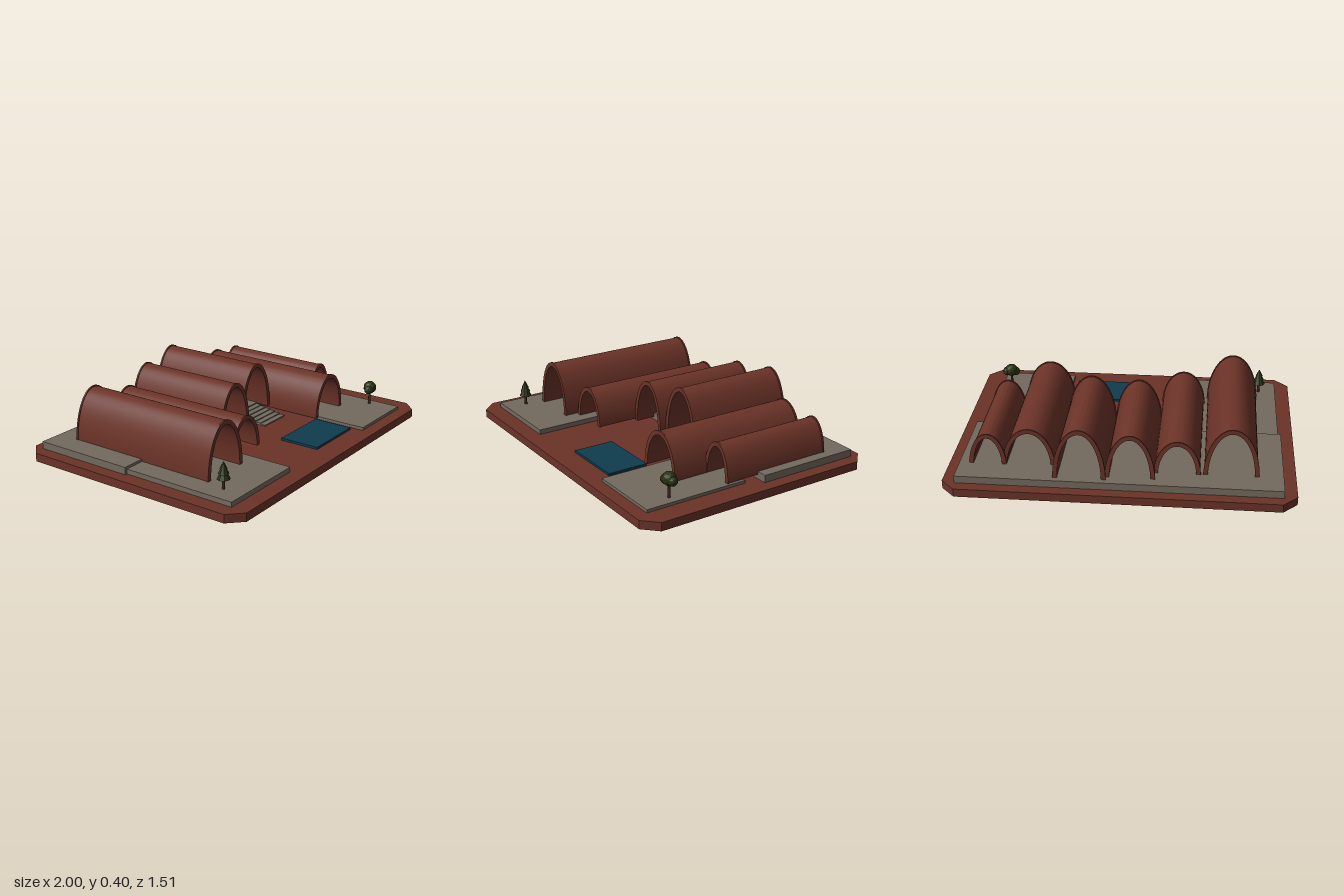
import * as THREE from 'three';
import { toCreasedNormals } from 'three/addons/utils/BufferGeometryUtils.js';

const mat = (name, color, flatShading = false) => {
  const m = new THREE.MeshStandardMaterial({ color, flatShading });
  m.name = name;
  return m;
};

export function createModel() {
  const clay = mat('clay', 0x6b3328);
  const stone = mat('stone', 0x736a5e);
  const water = mat('water', 0x0f3b4d);
  const bark = mat('bark', 0x42241a);
  const leaf = mat('leaf', 0x28330f, true);

  const model = new THREE.Group();
  model.name = 'vaultedBuilding';

  const add = (name, geometry, material, parent = model) => {
    const mesh = new THREE.Mesh(geometry, material);
    mesh.name = name;
    parent.add(mesh);
    return mesh;
  };
  // Box given by its limits on each axis
  const block = (name, material, x0, x1, y0, y1, z0, z1, parent = model) =>
    add(name, new THREE.BoxGeometry(x1 - x0, y1 - y0, z1 - z0), material, parent)
      .position.set((x0 + x1) / 2, (y0 + y1) / 2, (z0 + z1) / 2);

  // Base slab with cut corners
  const X = 1, Z = 0.755, c = 0.083;
  const outline = new THREE.Shape([
    [-X + c, -Z], [X - c, -Z], [X, -Z + c], [X, Z - c],
    [X - c, Z], [-X + c, Z], [-X, Z - c], [-X, -Z + c],
  ].map(([x, y]) => new THREE.Vector2(x, y)));
  const slab = new THREE.ExtrudeGeometry(outline, { depth: 0.05, bevelEnabled: false });
  slab.rotateX(-Math.PI / 2);
  add('baseSlab', slab, clay);

  // Terraces and pool
  block('backTerrace', stone, -0.925, 0.925, 0.045, 0.094, -0.69, -0.055);
  block('rightTerrace', stone, -0.91, -0.36, 0.045, 0.079, -0.055, 0.655);
  block('leftTerrace', stone, 0.415, 0.87, 0.045, 0.068, 0.037, 0.677);
  block('pool', water, -0.005, 0.38, 0.045, 0.064, 0.362, 0.61);

  // Steps down to the court
  const steps = new THREE.Group();
  steps.name = 'steps';
  model.add(steps);
  const count = 6;
  for (let i = 0; i < count; i++) {
    const z = -0.055 + i * 0.0358;
    block('step', stone, 0.122, 0.337, 0.045, 0.088 - i * 0.006, z, z + 0.0358, steps);
  }

  // Arched shell: half ellipse band pulled along z
  const arch = (rx, ry, t, depth) => {
    const shape = new THREE.Shape();
    shape.moveTo(rx, 0);
    shape.absellipse(0, 0, rx, ry, 0, Math.PI, false, 0);
    shape.lineTo(-rx + t, 0);
    shape.absellipse(0, 0, rx - t, ry - t, Math.PI, 0, true, 0);
    shape.closePath();
    const g = new THREE.ExtrudeGeometry(shape, { depth, bevelEnabled: false, curveSegments: 32 });
    return toCreasedNormals(g, 0.6);
  };

  // Vaults: centre x, half width, foot, crown, back z, front z
  const rim = 0.005, rimDepth = 0.01, thick = 0.02;
  [
    [-0.63, 0.158, 0.08, 0.385, -0.55, 0.412],
    [-0.325, 0.134, 0.08, 0.296, -0.555, 0.333],
    [-0.063, 0.143, 0.068, 0.362, -0.625, 0.07],
    [0.22, 0.15, 0.088, 0.4, -0.655, 0.025],
    [0.525, 0.153, 0.068, 0.315, -0.52, 0.37],
    [0.76, 0.108, 0.075, 0.282, -0.535, 0.155],
  ].forEach(([x, rx, foot, crown, z0, z1]) => {
    const vault = new THREE.Group();
    vault.name = 'vault';
    vault.position.set(x, foot, 0);
    model.add(vault);
    const ry = crown - foot;
    add('vaultShell', arch(rx - rim, ry - rim, thick, z1 - z0 - 0.004), clay, vault)
      .position.z = z0 + 0.002;
    for (const z of [z0, z1 - rimDepth]) {
      add('vaultRim', arch(rx, ry, thick + rim + 0.001, rimDepth), clay, vault).position.z = z;
    }
  });

  // Conifer
  const conifer = new THREE.Group();
  conifer.name = 'conifer';
  conifer.position.set(-0.803, 0.077, 0.525);
  model.add(conifer);
  add('trunk', new THREE.CylinderGeometry(0.007, 0.009, 0.08, 8), bark, conifer).position.y = 0.04;
  [[0.038, 0.07, 0.095], [0.031, 0.06, 0.12], [0.022, 0.045, 0.139]].forEach(([r, h, y]) => {
    add('foliage', new THREE.ConeGeometry(r, h, 8), leaf, conifer).position.y = y;
  });

  // Round tree
  const roundTree = new THREE.Group();
  roundTree.name = 'roundTree';
  roundTree.position.set(0.812, 0.066, 0.5);
  model.add(roundTree);
  add('trunk', new THREE.CylinderGeometry(0.007, 0.009, 0.09, 8), bark, roundTree).position.y = 0.045;
  [[0, 0.112, 0, 0.041], [-0.026, 0.102, 0.006, 0.029], [0.026, 0.105, -0.004, 0.03]]
    .forEach(([x, y, z, r]) => {
      add('foliage', new THREE.IcosahedronGeometry(r, 1), leaf, roundTree).position.set(x, y, z);
    });

  return model;
}
